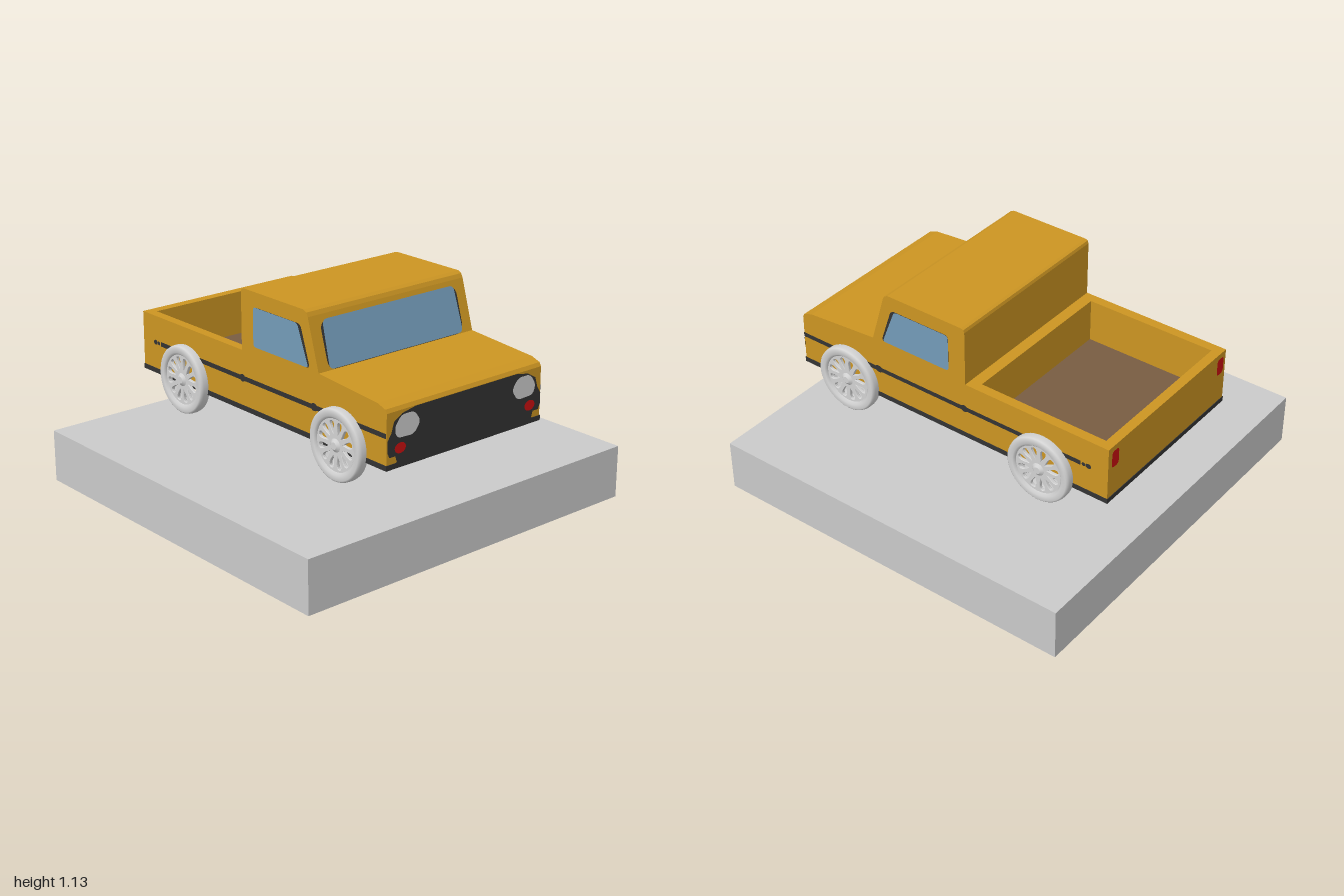
import * as THREE from 'three';

const mat = (name, color, side = THREE.FrontSide) => {
  const m = new THREE.MeshStandardMaterial({ color, side });
  m.name = name;
  return m;
};

export function createModel() {
  const truck = new THREE.Group();
  truck.name = 'pickupOnPlinth';
  const paint = mat('ochrePaint', 0xcc9522);
  const grey = mat('plinthGrey', 0xcacaca);
  const silver = mat('wheelSilver', 0xd2d2d2);
  const black = mat('trimBlack', 0x333333, THREE.DoubleSide);
  const glass = mat('windowBlue', 0x739bb8, THREE.DoubleSide);
  const lamp = mat('lampWhite', 0xcfcfcf, THREE.DoubleSide);
  const red = mat('lampRed', 0xcc1010, THREE.DoubleSide);
  const wood = mat('bedBrown', 0x785c42);

  const add = (name, geo, material, parent = truck) => {
    const m = new THREE.Mesh(geo, material);
    m.name = name;
    parent.add(m);
    return m;
  };
  // box given by its limits on each axis
  const box = (name, material, x0, x1, y0, y1, z0, z1) => {
    const m = add(name, new THREE.BoxGeometry(x1 - x0, y1 - y0, z1 - z0), material);
    m.position.set((x0 + x1) / 2, (y0 + y1) / 2, (z0 + z1) / 2);
    return m;
  };
  const polygon = pts => new THREE.Shape(pts.map(p => new THREE.Vector2(...p)));
  // polygon with its corners rounded off by radius r
  const rounded = (pts, r) => {
    const s = new THREE.Shape();
    const v = pts.map(p => new THREE.Vector2(...p));
    v.forEach((p, i) => {
      const toward = q => q.clone().sub(p).setLength(r).add(p);
      const a = toward(v[(i + v.length - 1) % v.length]);
      const b = toward(v[(i + 1) % v.length]);
      if (i) s.lineTo(a.x, a.y); else s.moveTo(a.x, a.y);
      s.quadraticCurveTo(p.x, p.y, b.x, b.y);
    });
    s.closePath();
    return s;
  };
  const ellipse = (x, y, rx, ry) => new THREE.Shape().absellipse(x, y, rx, ry, 0, Math.PI * 2);
  const flat = (name, shape, material, parent = truck) => add(name, new THREE.ShapeGeometry(shape, 10), material, parent);

  // Plinth
  box('plinth', grey, -1, 1, 0, 0.27, -1, 1);

  // Bonnet and cab, one side profile (z, y) swept across the width
  const W = 0.49;
  const profile = polygon([
    [-0.155, 0.53], [0.93, 0.53], [0.93, 0.785], [0.92, 0.803], [0.87, 0.82], [0.47, 0.85],
    [0.395, 1.1], [0.385, 1.12], [0.365, 1.13], [-0.075, 1.13], [-0.09, 1.125], [-0.095, 1.11],
    [-0.095, 0.82], [-0.155, 0.82],
  ]);
  const cabGeo = new THREE.ExtrudeGeometry(profile, { depth: 2 * W, bevelEnabled: false });
  cabGeo.translate(0, 0, -W).rotateY(-Math.PI / 2);
  add('cabAndBonnet', cabGeo, paint);

  // Load bed
  for (const s of [-1, 1]) {
    box('bedSide', paint, Math.min(s * W, s * 0.44), Math.max(s * W, s * 0.44), 0.53, 0.82, -0.91, -0.155);
  }
  box('tailgate', paint, -0.44, 0.44, 0.53, 0.82, -0.91, -0.86);
  box('bedFloor', wood, -0.44, 0.44, 0.53, 0.59, -0.86, -0.155);

  // Dark sill and underside
  box('sill', black, -W - 0.003, W + 0.003, 0.515, 0.54, -0.913, 0.933);

  // Side windows and stripes, drawn in (z, y)
  for (const s of [-1, 1]) {
    const side = new THREE.Group();
    side.name = s > 0 ? 'leftSideDetails' : 'rightSideDetails';
    side.rotation.y = -Math.PI / 2;
    side.position.x = s * (W + 0.003);
    truck.add(side);
    flat('sideWindowTrim', rounded([[0, 0.86], [0.412, 0.86], [0.345, 1.057], [0, 1.057]], 0.025), black, side);
    const pane = flat('sideWindow', rounded([[0, 0.86], [0.403, 0.86], [0.325, 1.057], [0, 1.057]], 0.02), glass, side);
    pane.position.z = -s * 0.002;
    flat('sideStripe', polygon([[-0.76, 0.668], [0.93, 0.668], [0.93, 0.692], [-0.76, 0.692]]), black, side);
    for (const [z, rx, ry] of [[0.44, 0.025, 0.019], [-0.09, 0.022, 0.019], [-0.777, 0.01, 0.01], [-0.803, 0.016, 0.013]]) {
      flat('stripeMark', ellipse(z, 0.68, rx, ry), black, side);
    }
  }

  // Windscreen on the sloping front of the cab
  const screen = new THREE.Group();
  screen.name = 'windscreenGroup';
  screen.position.set(0, 0.851, 0.473);
  screen.rotation.x = -Math.atan2(0.075, 0.25);
  truck.add(screen);
  flat('windscreenTrim', rounded([[-0.43, 0.002], [0.43, 0.002], [0.43, 0.232], [-0.43, 0.232]], 0.05), black, screen);
  flat('windscreen', rounded([[-0.425, 0.004], [0.425, 0.004], [0.415, 0.236], [-0.415, 0.236]], 0.03), glass, screen)
    .position.z = 0.002;

  // Dark nose panel with lamps
  const half = [[0.49, 0.52], [0.43, 0.545], [0.44, 0.575], [0.475, 0.575], [0.488, 0.6],
    [0.488, 0.655], [0.465, 0.69], [0.45, 0.74], [0.4, 0.77], [0.32, 0.785]];
  const nose = polygon([...half, ...half.map(([x, y]) => [-x, y]).reverse()]);
  flat('nosePanel', nose, black).position.z = 0.934;
  for (const s of [-1, 1]) {
    const head = rounded([[0.29, 0.71], [0.33, 0.765], [0.41, 0.765], [0.45, 0.71], [0.435, 0.66], [0.33, 0.655]]
      .map(([x, y]) => [s * x, y]), 0.026);
    flat('headlight', head, lamp).position.z = 0.937;
    flat('frontMarker', ellipse(s * 0.413, 0.61, 0.034, 0.026), red).position.z = 0.937;
    flat('tailLight', rounded([[-0.027, -0.046], [0.027, -0.046], [0.027, 0.046], [-0.027, 0.046]], 0.02), red)
      .position.set(s * 0.44, 0.75, -0.914);
  }

  // Wheel: tyre lathe, pierced disc with petal openings, hub
  const tyreGeo = new THREE.LatheGeometry([
    [0.128, -0.03], [0.165, -0.03], [0.173, -0.024], [0.176, -0.012], [0.176, 0.012],
    [0.173, 0.024], [0.165, 0.03], [0.14, 0.03], [0.128, 0.018], [0.128, -0.03],
  ].map(p => new THREE.Vector2(...p)), 48).rotateX(Math.PI / 2);
  const disc = new THREE.Shape().absarc(0, 0, 0.131, 0, Math.PI * 2);
  const petals = 12;
  for (let i = 0; i < petals; i++) {
    const a = (i + 0.5) / petals * Math.PI * 2;
    const at = (r, t) => [r * Math.cos(a) - t * Math.sin(a), r * Math.sin(a) + t * Math.cos(a)];
    const hole = new THREE.Path();
    hole.moveTo(...at(0.05, 0));
    hole.bezierCurveTo(...at(0.07, 0.008), ...at(0.118, 0.032), ...at(0.119, 0));
    hole.bezierCurveTo(...at(0.118, -0.032), ...at(0.07, -0.008), ...at(0.05, 0));
    disc.holes.push(hole);
  }
  const discGeo = new THREE.ExtrudeGeometry(disc, {
    depth: 0.012, bevelEnabled: true, bevelThickness: 0.003, bevelSize: 0.002, bevelSegments: 1, curveSegments: 8,
  });
  const hubGeo = new THREE.CylinderGeometry(0.018, 0.036, 0.014, 20).rotateX(Math.PI / 2);
  for (const s of [-1, 1]) {
    for (const z of [0.625, -0.545]) {
      const wheel = new THREE.Group();
      wheel.name = z > 0 ? 'frontWheel' : 'rearWheel';
      wheel.position.set(s * 0.505, 0.555, z);
      wheel.rotation.y = s * Math.PI / 2;
      add('tyre', tyreGeo, silver, wheel);
      add('spokedDisc', discGeo, silver, wheel).position.z = 0.003;
      add('hub', hubGeo, silver, wheel).position.z = 0.023;
      truck.add(wheel);
    }
  }
  return truck;
}
